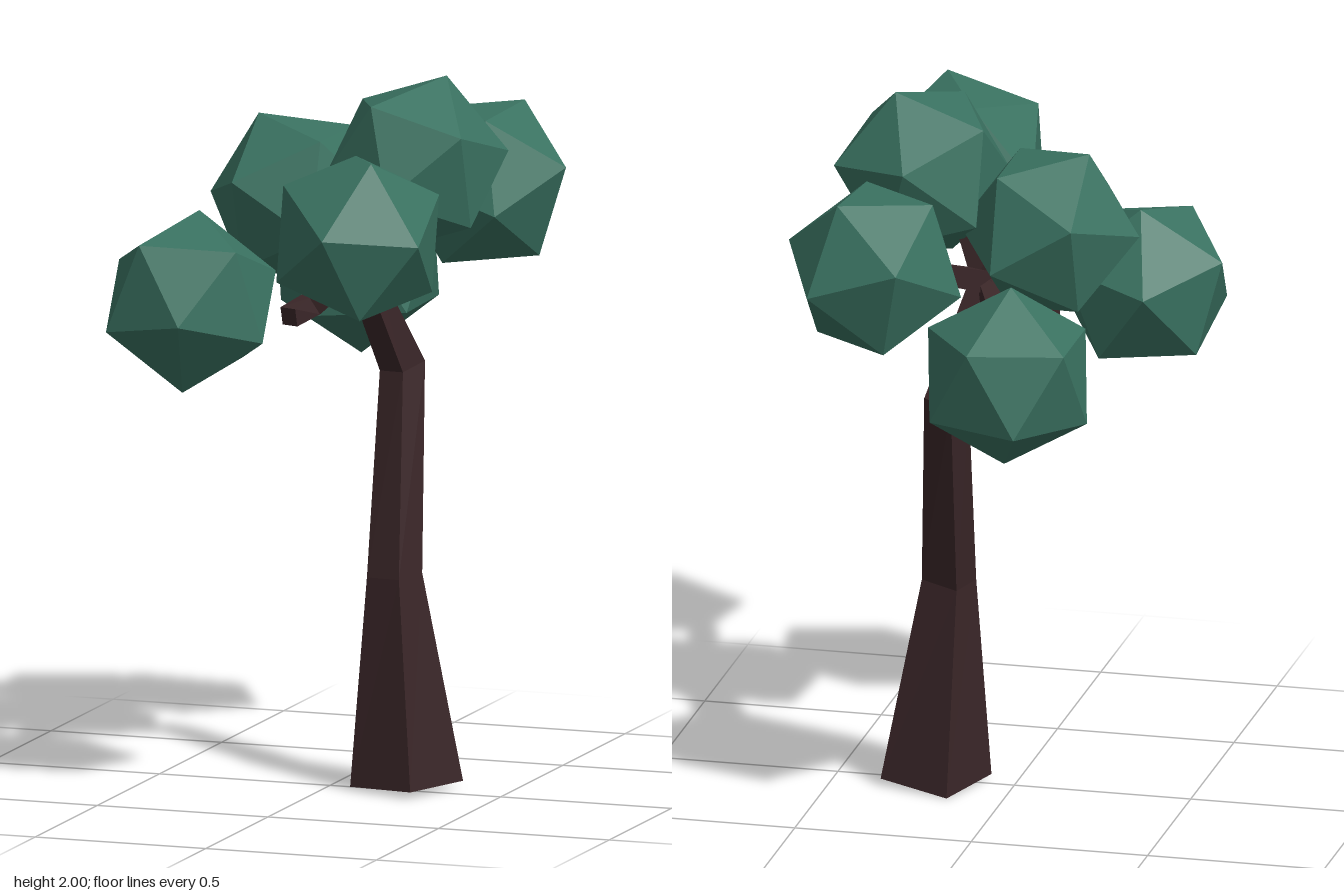
import * as THREE from 'three';

const V = (x, y, z) => new THREE.Vector3(x, y, z);

// Flat-faced solid through four-cornered rings, closed at both ends
function loft(rings) {
  const pos = [];
  const quad = (a, b, c, d) => [a, b, c, a, c, d].forEach((p) => pos.push(p.x, p.y, p.z));
  for (let k = 0; k < rings.length - 1; k++) {
    const lo = rings[k], hi = rings[k + 1];
    for (let i = 0; i < 4; i++) {
      const j = (i + 1) % 4;
      quad(lo[i], lo[j], hi[j], hi[i]);
    }
  }
  const first = rings[0], last = rings[rings.length - 1];
  quad(first[3], first[2], first[1], first[0]);
  quad(last[0], last[1], last[2], last[3]);
  const g = new THREE.BufferGeometry();
  g.setAttribute('position', new THREE.Float32BufferAttribute(pos, 3));
  g.computeVertexNormals();
  return g;
}

// Square-section branch along a list of points, tapering from r0 to r1
function branchGeometry(pts, r0, r1) {
  const n = pts.length - 1;
  const rings = pts.map((p, k) => {
    const dir = pts[Math.min(k + 1, n)].clone().sub(pts[Math.max(k - 1, 0)]).normalize();
    const ref = Math.abs(dir.y) > 0.9 ? V(1, 0, 0) : V(0, 1, 0);
    const u = ref.cross(dir).normalize();
    const v = dir.clone().cross(u);
    const r = THREE.MathUtils.lerp(r0, r1, k / n);
    return [0, 1, 2, 3].map((i) => {
      const a = Math.PI / 4 + (i * Math.PI) / 2;
      return p.clone().addScaledVector(u, r * Math.cos(a)).addScaledVector(v, r * Math.sin(a));
    });
  });
  return loft(rings);
}

export function createModel() {
  const tree = new THREE.Group();
  tree.name = 'tree';
  const bark = new THREE.MeshStandardMaterial({ color: 0x3a2628, flatShading: true });
  const leaf = new THREE.MeshStandardMaterial({ color: 0x3a7261, flatShading: true });
  const add = (name, geometry, material) => {
    const m = new THREE.Mesh(geometry, material);
    m.name = name;
    tree.add(m);
    return m;
  };

  // Crooked, tapering trunk
  add('trunk', loft([
    [V(0.28, 0.02, 0.124), V(0.357, 0.02, -0.09), V(0.154, 0, -0.156), V(0.077, 0.01, 0.05)],
    [V(0.214, 0.595, 0.034), V(0.246, 0.6, -0.066), V(0.14, 0.585, -0.098), V(0.108, 0.59, 0)],
    [V(0.172, 1.148, -0.114), V(0.209, 1.17, -0.19), V(0.125, 1.16, -0.225), V(0.093, 1.143, -0.145)],
    [V(0.105, 1.46, 0.02), V(0.115, 1.48, -0.035), V(0.05, 1.48, -0.055), V(0.035, 1.45, -0.01)],
  ]), bark);

  // Branches spreading from the trunk top
  const hub = V(0.075, 1.46, -0.01);
  const branches = {
    backRightBranch: [V(-0.08, 1.36, -0.36)],
    backLeftBranch: [V(0.2, 1.58, -0.3)],
    frontLeftBranch: [V(0.09, 1.57, 0.35)],
    upperLeftBranch: [V(0.14, 1.64, 0)],
    upperRightBranch: [V(0, 1.58, -0.02)],
    bentBranch: [V(-0.045, 1.35, 0.03), V(-0.075, 1.33, 0.125)],
  };
  for (const [name, pts] of Object.entries(branches)) {
    add(name, branchGeometry([hub, ...pts], 0.045, 0.036), bark);
  }

  // Leaf clumps: centre, then the directions of two neighbouring corners
  const clumps = {
    backRightLeaves: [V(-0.108, 1.37, -0.52), V(0.01, -0.25, 0), V(-0.07, -0.11, -0.22)],
    backLeftLeaves: [V(0.283, 1.63, -0.458), V(0.255, 0.063, 0.02), V(0.167, -0.207, 0)],
    upperRightLeaves: [V(-0.108, 1.635, -0.038), V(-0.25, 0, 0), V(-0.112, 0.224, 0)],
    upperLeftLeaves: [V(0.259, 1.762, 0.014), V(0.066, 0.236, -0.055), V(0, 0.06, -0.244)],
    frontRightLeaves: [V(-0.3, 1.389, 0.296), V(-0.243, 0.098, -0.063), V(-0.057, 0.03, -0.261)],
    frontLeftLeaves: [V(0.259, 1.635, 0.488), V(-0.059, 0.217, -0.149), V(0.071, 0.238, 0.087)],
  };
  const ball = new THREE.IcosahedronGeometry(0.256, 0);
  for (const [name, [centre, p, q]] of Object.entries(clumps)) {
    p.normalize();
    q.normalize();
    const x = q.clone().sub(p).normalize();
    const y = q.clone().add(p).normalize();
    const m = add(name, ball, leaf);
    m.quaternion.setFromRotationMatrix(new THREE.Matrix4().makeBasis(x, y, x.clone().cross(y)));
    m.position.copy(centre);
  }
  return tree;
}
